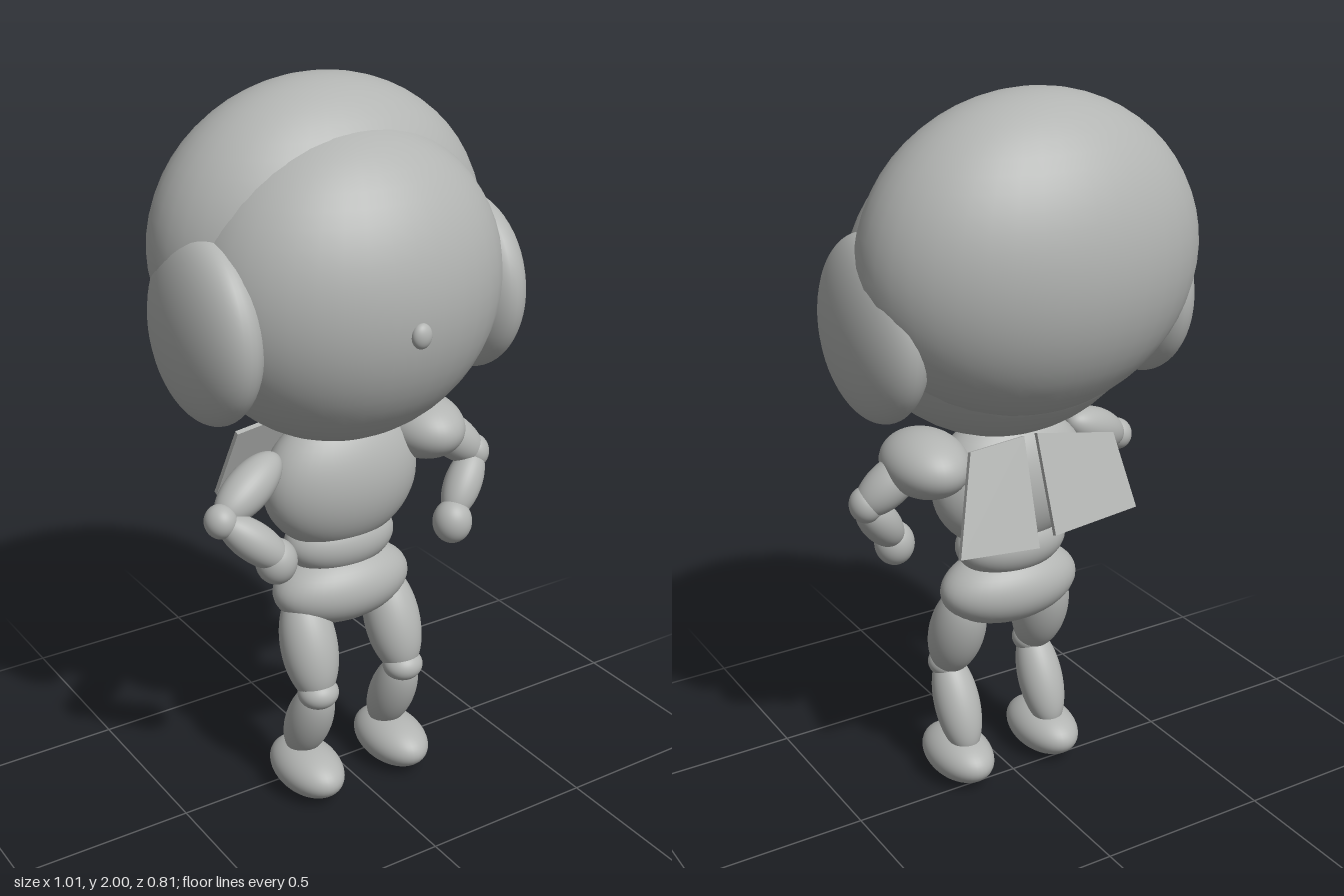
import * as THREE from 'three';

const V = (p) => new THREE.Vector3(...p);

export function createModel() {
  const model = new THREE.Group();
  const grey = new THREE.MeshStandardMaterial({ color: 0xb2b4b2 });
  grey.name = 'matte grey';
  const ball = new THREE.SphereGeometry(1, 40, 28);

  const add = (name, geometry) => {
    const mesh = new THREE.Mesh(geometry, grey);
    mesh.name = name;
    model.add(mesh);
    return mesh;
  };

  // Ellipsoid given by centre and three radii
  const blob = (name, centre, radii) => {
    const mesh = add(name, ball);
    mesh.position.set(...centre);
    mesh.scale.set(...radii);
    return mesh;
  };

  // Ellipsoid stretched from one tip to another
  const limb = (name, a, b, radius) => {
    const from = V(a), along = V(b).sub(from);
    const centre = from.clone().addScaledVector(along, 0.5).toArray();
    const mesh = blob(name, centre, [radius, along.length() / 2, radius]);
    mesh.quaternion.setFromUnitVectors(new THREE.Vector3(0, 1, 0), along.normalize());
  };

  // Head
  blob('face', [0, 1.485, 0.04], [0.44, 0.42, 0.345]);
  blob('hair', [0, 1.58, -0.085], [0.475, 0.42, 0.32]);
  blob('nose', [0, 1.437, 0.385], [0.028, 0.033, 0.02]);

  // Body
  blob('chest', [0, 0.93, 0.02], [0.235, 0.2, 0.135]);
  blob('waist', [0, 0.745, 0.015], [0.168, 0.095, 0.104]);
  blob('hips', [0, 0.61, 0.025], [0.21, 0.11, 0.125]);

  // Mirrored ears and legs
  for (const [side, s] of [['left', 1], ['right', -1]]) {
    blob(side + 'Ear', [s * 0.4, 1.42, 0.02], [0.107, 0.245, 0.235]);
    limb(side + 'Thigh', [s * 0.135, 0.62, 0.02], [s * 0.143, 0.32, 0.135], 0.08);
    blob(side + 'Knee', [s * 0.142, 0.345, 0.13], [0.058, 0.045, 0.056]);
    limb(side + 'Shin', [s * 0.142, 0.37, 0.145], [s * 0.142, 0.095, 0.015], 0.066);
    blob(side + 'Foot', [s * 0.145, 0.073, 0.072], [0.09, 0.071, 0.142]);
  }

  // Left arm, with a shoulder pad
  blob('shoulderPad', [0.26, 1.025, 0.025], [0.113, 0.09, 0.148]);
  limb('leftUpperArm', [0.27, 1.05, 0.03], [0.435, 0.9, 0.075], 0.06);
  blob('leftElbow', [0.415, 0.922, 0.07], [0.044, 0.05, 0.048]);
  limb('leftForearm', [0.425, 0.93, 0.07], [0.295, 0.765, 0.13], 0.053);
  blob('leftHand', [0.3, 0.757, 0.135], [0.056, 0.063, 0.055]);

  // Right arm
  limb('rightUpperArm', [-0.21, 1.045, 0.04], [-0.425, 0.935, 0.11], 0.06);
  blob('rightElbow', [-0.423, 0.938, 0.115], [0.043, 0.046, 0.046]);
  limb('rightForearm', [-0.425, 0.945, 0.115], [-0.265, 0.8, 0.18], 0.053);
  blob('rightHand', [-0.287, 0.807, 0.16], [0.056, 0.063, 0.055]);

  // Two flat tail panels leaning out behind the back
  const panel = (name, corners) => {
    const lean = 0.37;
    const shape = new THREE.Shape(corners.map(([x, y]) =>
      new THREE.Vector2(x, (y - 1.1) * Math.hypot(1, lean))));
    const mesh = add(name, new THREE.ExtrudeGeometry(shape, { depth: 0.014, bevelEnabled: false }));
    mesh.position.set(0, 1.1, -0.112);
    mesh.rotation.x = Math.atan(lean);
  };
  panel('leftTailPanel', [[0.035, 1.1], [0.05, 0.82], [0.285, 0.84], [0.2, 1.09]]);
  panel('rightTailPanel', [[-0.005, 1.1], [-0.24, 1.06], [-0.27, 0.86], [-0.005, 0.84]]);

  return model;
}
